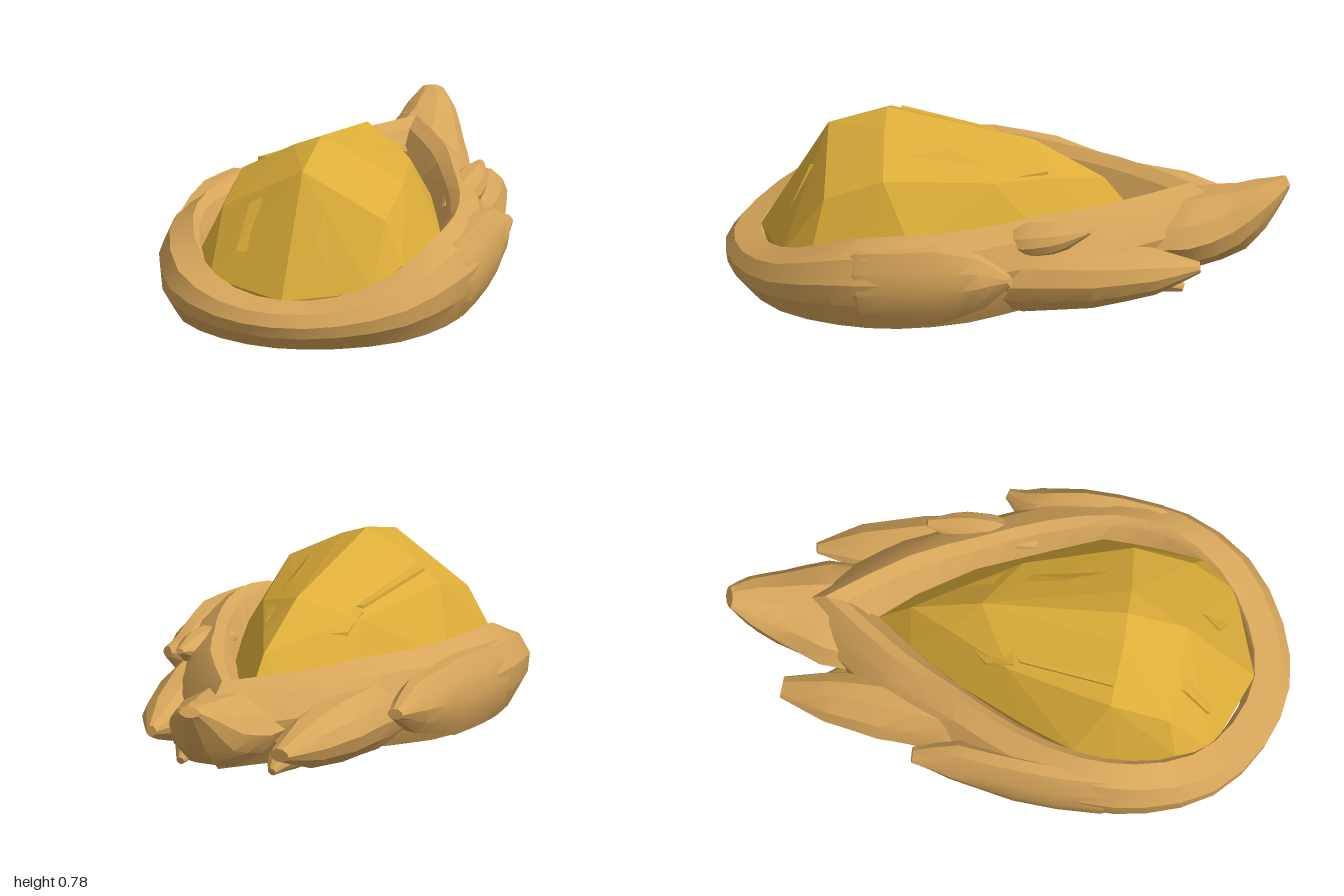
import * as THREE from 'three';
import { toCreasedNormals } from 'three/addons/utils/BufferGeometryUtils.js';
import { ConvexGeometry } from 'three/addons/geometries/ConvexGeometry.js';

const V = (x, y, z) => new THREE.Vector3(x, y, z);

// Skin a list of closed cross-sections, with fans closing both ends
function loft(rings, crease) {
  const n = rings[0].length, pos = [], idx = [];
  rings.forEach(r => r.forEach(p => pos.push(p.x, p.y, p.z)));
  for (let i = 0; i < rings.length - 1; i++) {
    for (let j = 0; j < n; j++) {
      const a = i * n + j, b = i * n + (j + 1) % n;
      idx.push(a, b, b + n, a, b + n, a + n);
    }
  }
  [0, rings.length - 1].forEach((r, end) => {
    const c = rings[r].reduce((s, p) => s.add(p), V(0, 0, 0)).divideScalar(n);
    const k = pos.length / 3;
    pos.push(c.x, c.y, c.z);
    for (let j = 0; j < n; j++) {
      const a = r * n + j, b = r * n + (j + 1) % n;
      idx.push(...(end ? [a, b, k] : [b, a, k]));
    }
  });
  // Turn the skin outwards if its signed volume is negative
  const at = i => V(pos[i * 3], pos[i * 3 + 1], pos[i * 3 + 2]);
  let volume = 0;
  for (let i = 0; i < idx.length; i += 3) volume += at(idx[i]).dot(at(idx[i + 1]).cross(at(idx[i + 2])));
  if (volume < 0) idx.reverse();
  const g = new THREE.BufferGeometry();
  g.setAttribute('position', new THREE.Float32BufferAttribute(pos, 3));
  g.setIndex(idx);
  return toCreasedNormals(g, crease);
}

// Pointed leaf: stations are [x, y, z, half height, half thickness]
function leafGeometry(stations) {
  const path = new THREE.CatmullRomCurve3(stations.map(s => V(s[0], s[1], s[2])));
  const rings = [], steps = 8;
  for (let i = 0; i <= steps; i++) {
    const t = i / steps, f = t * (stations.length - 1);
    const k = Math.min(Math.floor(f), stations.length - 2);
    const h = THREE.MathUtils.lerp(stations[k][3], stations[k + 1][3], f - k);
    const w = THREE.MathUtils.lerp(stations[k][4], stations[k + 1][4], f - k);
    const c = path.getPoint(t), tan = path.getTangent(t);
    const side = tan.clone().cross(V(0, 1, 0)).normalize();
    const up = side.clone().cross(tan);
    rings.push(Array.from({ length: 10 }, (_, j) => {
      const a = j / 10 * Math.PI * 2, cs = Math.cos(a), sn = Math.sin(a);
      return c.clone().addScaledVector(side, w * cs).addScaledVector(up, h * sn * Math.abs(sn) ** 0.3);
    }));
  }
  return loft(rings, 0.45);
}

// Teardrop rim: half outline [inner x, inner z, outer x, outer z, bottom, top, crest position]
function rimGeometry() {
  const half = [
    [0, -0.44, 0, -0.8, 0.21, 0.55, 0.6],
    [0.07, -0.33, 0.3, -0.42, 0.2, 0.54, 0.55],
    [0.185, -0.15, 0.42, -0.15, 0.18, 0.53, 0.5],
    [0.3, 0.07, 0.52, 0.08, 0.15, 0.51, 0.46],
    [0.375, 0.3, 0.575, 0.33, 0.14, 0.5, 0.42],
    [0.385, 0.48, 0.555, 0.56, 0.14, 0.47, 0.36],
    [0.32, 0.67, 0.44, 0.79, 0.14, 0.38, 0.25],
    [0.18, 0.79, 0.23, 0.94, 0.14, 0.32, 0.2],
  ];
  const outline = [...half, [0, 0.84, 0, 0.995, 0.14, 0.305, 0.2],
    ...half.slice().reverse().map(([a, b, c, ...d]) => [-a, b, -c, ...d])];
  // Rim section [across, up, crest weight]: the inner wall closes on the gem
  const section = [[0.08, 0.2, 0], [0, 0.5, 0], [0, 0.92, 0.65], [0, 1, 1], [0.8, 0.85, 0],
    [1, 0.6, 0], [0.96, 0.36, 0], [0.68, 0.06, 0], [0.35, 0, 0]];
  const curves = section.map(([a, v, w]) => new THREE.CatmullRomCurve3(outline.map(
    ([xi, zi, xo, zo, b, t, crest]) => {
      const u = a + w * crest;
      return V(xi + (xo - xi) * u, b + (t - b) * v, zi + (zo - zi) * u);
    })));
  return loft(Array.from({ length: 33 }, (_, i) => curves.map(c => c.getPoint(i / 32))), 0.4);
}

export function createModel() {
  const group = new THREE.Group();
  const amber = new THREE.MeshStandardMaterial({ name: 'amber', color: 0xddae39, flatShading: true });
  const wood = new THREE.MeshStandardMaterial({ name: 'tan wood', color: 0xd6a55a });
  const add = (name, geometry, material) => {
    const mesh = new THREE.Mesh(geometry, material);
    mesh.name = name;
    group.add(mesh);
    return mesh;
  };

  // Faceted solid from [y, z] points on the centre plane and mirrored corners
  const facets = (ridge, corners) => new ConvexGeometry([
    ...ridge.map(([y, z]) => V(0, y, z)),
    ...corners.flatMap(([x, y, z]) => [V(x, y, z), V(-x, y, z)]),
  ]);

  // Teardrop gem, with a pointed keel below
  const gem = add('gem', facets(
    [[0.78, 0.42], [0.71, 0.63], [0.3, 0.87], [0.2, 0.82], [0.685, -0.1], [0.55, -0.35],
      [0.4, -0.47], [0.13, 0.72], [0.1, 0.25], [0.14, -0.08], [0.2, -0.32]],
    [[0.1, 0.74, 0.42], [0.3, 0.63, 0.4], [0.3, 0.55, 0.61], [0.2, 0.6, 0.02], [0.08, 0.58, -0.2],
      [0.37, 0.4, 0.64], [0.42, 0.33, 0.45], [0.4, 0.4, 0.28], [0.3, 0.33, 0.76],
      [0.33, 0.4, 0.1], [0.22, 0.42, -0.15], [0.1, 0.42, -0.34],
      [0.26, 0.12, 0.45], [0.39, 0.21, 0.48], [0.31, 0.21, 0.1], [0.19, 0.23, -0.18],
      [0.3, 0.2, 0.7], [0.16, 0.2, 0.79]]), amber);
  gem.updateMatrixWorld();
  add('gemKeel', facets([[0, 0.42], [0.13, 0.72], [0.1, 0.24], [0.3, 0.42]],
    [[0.1, 0.04, 0.42], [0.26, 0.12, 0.45], [0.12, 0.11, 0.22]]), amber);

  // Tilted chips on the gem; the first two corners of each are lifted
  const ray = new THREE.Raycaster();
  const chip = (name, top, points) => {
    const dir = top ? V(0, -1, 0) : V(0, 0, -1);
    const hull = points.flatMap(([a, b], i) => {
      ray.set(top ? V(a, 2, b) : V(a, b, 2), dir);
      const p = ray.intersectObject(gem)[0].point;
      return [p.clone().addScaledVector(dir, 0.03), p.clone().addScaledVector(dir, i < 2 ? -0.014 : 0.002)];
    });
    add(name, new ConvexGeometry(hull), amber);
  };
  chip('frontChipRight', false, [[-0.21, 0.43], [-0.19, 0.58], [-0.135, 0.61], [-0.165, 0.43]]);
  chip('frontChipLeft', false, [[0.08, 0.5], [0.1, 0.59], [0.145, 0.4]]);
  chip('topChipRight', true, [[-0.19, 0.04], [-0.18, -0.06], [-0.13, -0.12], [-0.14, 0.03]]);
  chip('topChipLeft', true, [[0.13, 0.18], [0.09, -0.16], [0.16, -0.03], [0.21, 0.42]]);
  chip('topSplinter', true, [[-0.24, 0.4], [-0.18, 0.06], [-0.15, 0.04], [-0.2, 0.4]]);

  // Rim and the overlapping leaves that sweep to the back
  add('rim', rimGeometry(), wood);
  const leaves = {
    leftOuterLeaf: [[0.43, 0.27, 0.7, 0.02, 0.02], [0.505, 0.31, 0.45, 0.15, 0.07],
      [0.51, 0.34, 0.18, 0.15, 0.075], [0.5, 0.36, 0.02, 0.1, 0.07], [0.53, 0.38, -0.08, 0.02, 0.02]],
    rightOuterLeaf: [[-0.43, 0.27, 0.68, 0.02, 0.02], [-0.505, 0.31, 0.4, 0.15, 0.07],
      [-0.51, 0.34, 0.1, 0.15, 0.07], [-0.48, 0.37, -0.13, 0.1, 0.07], [-0.49, 0.39, -0.28, 0.02, 0.03]],
    leftBackLeaf: [[0.42, 0.31, 0.2, 0.04, 0.05], [0.36, 0.32, -0.1, 0.13, 0.1],
      [0.32, 0.32, -0.34, 0.12, 0.11], [0.28, 0.33, -0.56, 0.085, 0.085], [0.25, 0.34, -0.72, 0.02, 0.02]],
    rightBackLeaf: [[-0.42, 0.32, 0.15, 0.04, 0.05], [-0.34, 0.33, -0.17, 0.13, 0.1],
      [-0.31, 0.34, -0.4, 0.12, 0.12], [-0.3, 0.35, -0.6, 0.09, 0.095], [-0.29, 0.36, -0.77, 0.025, 0.04]],
    leftInnerLeaf: [[0.34, 0.43, 0.05, 0.02, 0.02], [0.35, 0.45, -0.1, 0.07, 0.07],
      [0.35, 0.47, -0.22, 0.06, 0.06], [0.34, 0.5, -0.34, 0.01, 0.015]],
    leftLowerLeaf: [[0.26, 0.3, -0.2, 0.04, 0.04], [0.21, 0.28, -0.4, 0.08, 0.09],
      [0.18, 0.26, -0.54, 0.06, 0.07], [0.17, 0.22, -0.65, 0.015, 0.015]],
    rightLowerLeaf: [[-0.26, 0.3, -0.2, 0.04, 0.04], [-0.21, 0.28, -0.38, 0.08, 0.09],
      [-0.18, 0.26, -0.52, 0.06, 0.07], [-0.18, 0.23, -0.62, 0.015, 0.015]],
    tailLeaf: [[0, 0.37, -0.5, 0.1, 0.2], [0, 0.38, -0.66, 0.14, 0.195],
      [-0.015, 0.42, -0.8, 0.125, 0.14], [-0.035, 0.5, -0.92, 0.065, 0.09], [-0.05, 0.55, -0.99, 0.02, 0.04]],
  };
  for (const [name, stations] of Object.entries(leaves)) add(name, leafGeometry(stations), wood);

  return group;
}
